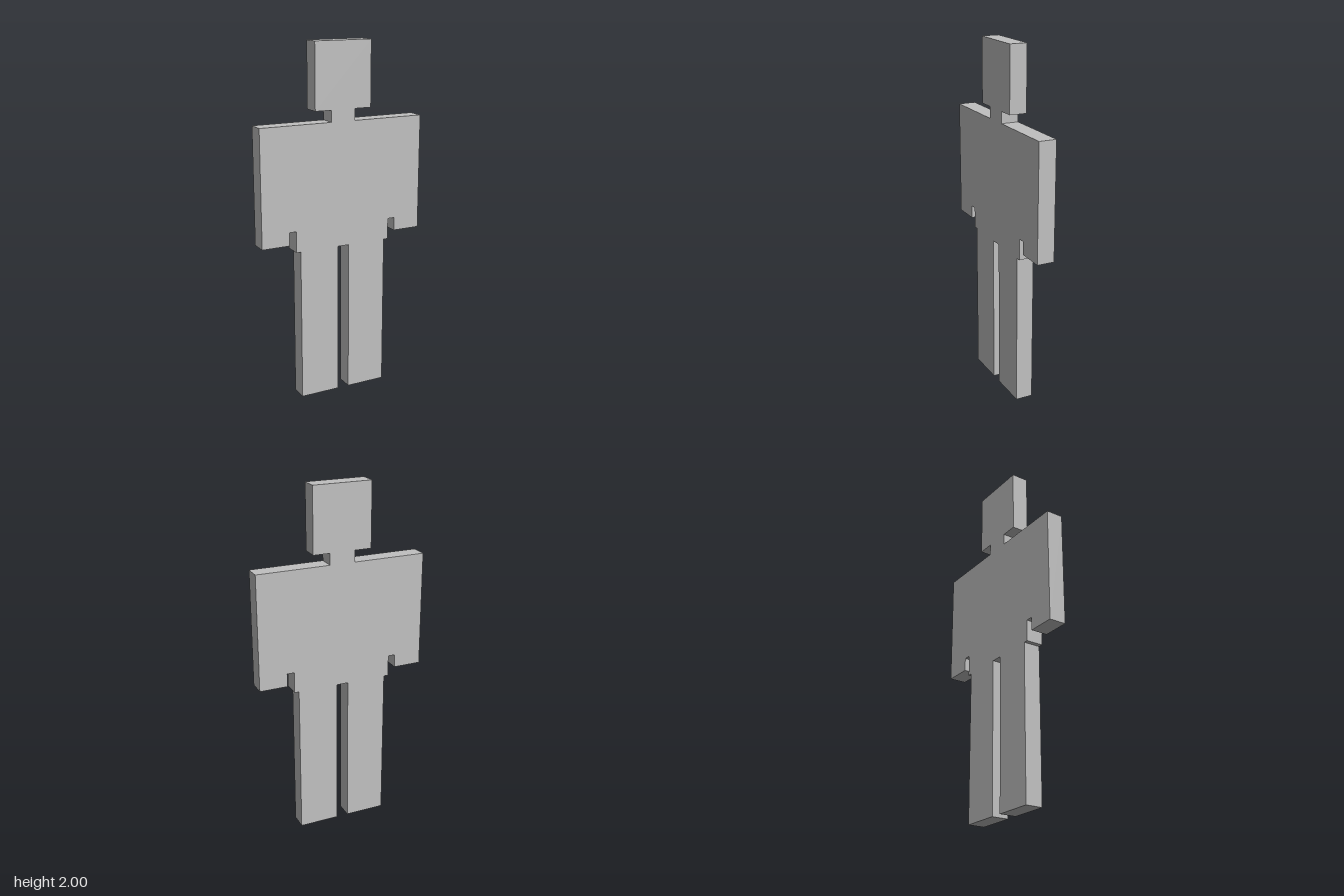
import * as THREE from 'three';

export function createModel() {
  const group = new THREE.Group();
  group.name = 'flatFigure';

  const grey = new THREE.MeshStandardMaterial({ color: 0xc0c0c0 });
  grey.name = 'plain grey';

  // Left half of the outline, from the crotch round to the top of the head
  const half = [
    [0.034, 0.87], [0.034, 0], [0.262, 0], [0.262, 0.87],      // leg
    [0.288, 0.87], [0.288, 0.99], [0.329, 0.99],               // hip and armpit
    [0.329, 0.915], [0.489, 0.915], [0.489, 1.57],             // arm and shoulder
    [0.072, 1.57], [0.072, 1.635], [0.168, 1.635], [0.168, 2], // neck and head
  ];
  const mirrored = half.map(([x, y]) => [-x, y]).reverse();
  const outline = [...half, ...mirrored].map(([x, y]) => new THREE.Vector2(x, y));

  // One solid slab, so no faces are buried inside the body
  const depth = 0.098;
  const geometry = new THREE.ExtrudeGeometry(new THREE.Shape(outline), { depth, bevelEnabled: false });
  geometry.translate(0, 0, -depth / 2);

  const body = new THREE.Mesh(geometry, grey);
  body.name = 'body';
  group.add(body);
  return group;
}
